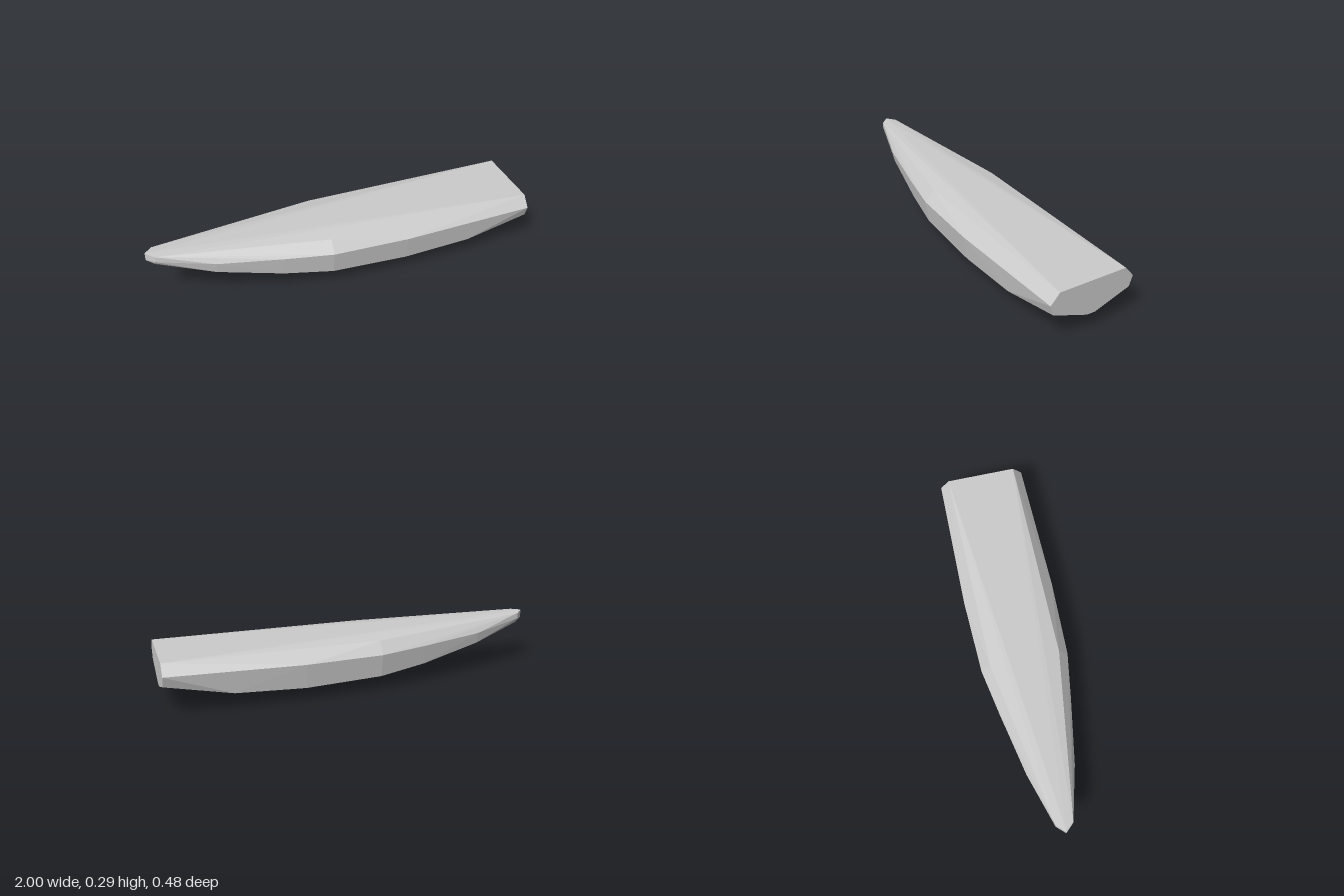
import * as THREE from 'three';
import { ConvexGeometry } from 'three/addons/geometries/ConvexGeometry.js';

// Lines running along the hull; each point is [x, y, half width].
const lines = {
  keel: [[-0.96, 0.225, 0.02], [-0.68, 0.12, 0.022], [-0.35, 0.04, 0.022], [-0.1, 0.01, 0.022],
    [0.3, 0, 0.022], [0.66, 0.02, 0.022], [1, 0.092, 0.022]],
  chine: [[-0.96, 0.242, 0.038], [-0.68, 0.165, 0.112], [-0.35, 0.105, 0.17], [-0.1, 0.08, 0.21],
    [0.3, 0.07, 0.22], [0.66, 0.088, 0.218], [1, 0.16, 0.21]],
  gunwale: [[-0.96, 0.255, 0.044], [-0.68, 0.222, 0.122], [-0.35, 0.208, 0.185], [-0.1, 0.2, 0.228],
    [0.3, 0.2, 0.24], [1, 0.215, 0.228]],
  deckEdge: [[-0.96, 0.284, 0.042], [-0.1, 0.262, 0.18], [1, 0.27, 0.182]],
};

export function createModel() {
  const group = new THREE.Group();
  group.name = 'boatHull';
  const hullGrey = new THREE.MeshStandardMaterial({ color: 0xcccccc });
  hullGrey.name = 'hullGrey';

  // Upright stem at the bow, on the centre line
  const points = [new THREE.Vector3(-1, 0.288, 0), new THREE.Vector3(-1, 0.246, 0)];

  // Mirror every line to both sides
  for (const line of Object.values(lines))
    for (const [x, y, z] of line)
      for (const side of [1, -1]) points.push(new THREE.Vector3(x, y, z * side));

  // Closed faceted hull with deck and transom
  const hull = new THREE.Mesh(new ConvexGeometry(points), hullGrey);
  hull.name = 'hull';
  group.add(hull);
  return group;
}
